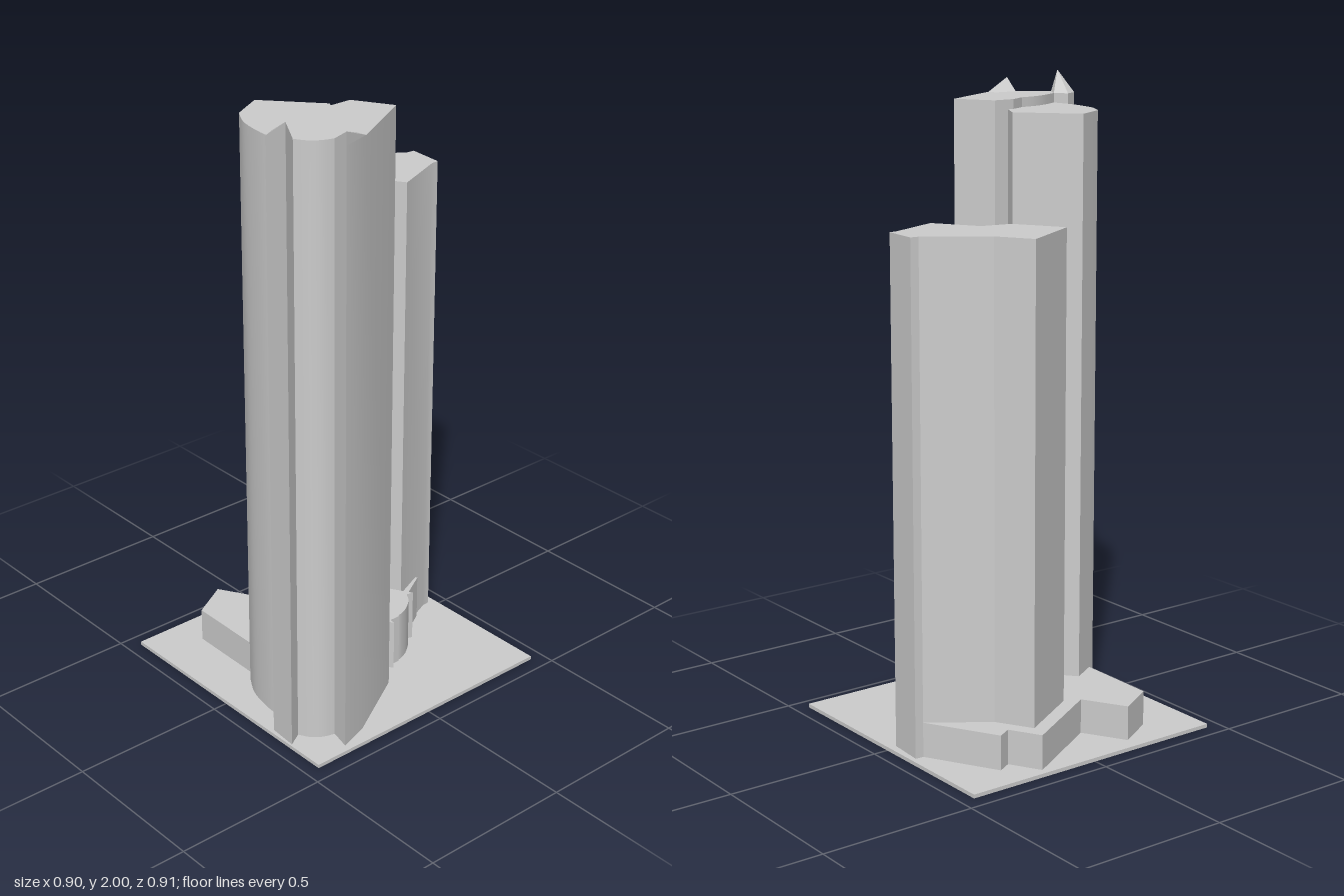
import * as THREE from 'three';
import { toCreasedNormals } from 'three/addons/utils/BufferGeometryUtils.js';

const material = new THREE.MeshStandardMaterial({ color: 0xcccccc });
const PLATE = 0.012;

// smooth run of [x, z] points
function arc(points, steps = 16) {
  const curve = new THREE.SplineCurve(points.map(p => new THREE.Vector2(...p)));
  return curve.getPoints(steps).map(p => [p.x, p.y]);
}

// vertical prism over an [x, z] footprint
function prism(name, footprint, top, bottom = PLATE) {
  const shape = new THREE.Shape(footprint.map(([x, z]) => new THREE.Vector2(x, -z)));
  const geometry = new THREE.ExtrudeGeometry(shape, { depth: top - bottom, bevelEnabled: false });
  geometry.rotateX(-Math.PI / 2).translate(0, bottom, 0);
  const mesh = new THREE.Mesh(toCreasedNormals(geometry, 0.4), material);
  mesh.name = name;
  return mesh;
}

// slanted crown: every edge of the footprint rises to one apex
function crown(name, footprint, base, apex) {
  const ring = footprint.map(([x, z]) => new THREE.Vector2(x, -z));
  if (THREE.ShapeUtils.isClockWise(ring)) ring.reverse();
  const positions = [];
  ring.forEach((a, i) => {
    const b = ring[(i + 1) % ring.length];
    positions.push(a.x, base, -a.y, b.x, base, -b.y, ...apex);
  });
  const geometry = new THREE.BufferGeometry();
  geometry.setAttribute('position', new THREE.Float32BufferAttribute(positions, 3));
  geometry.computeVertexNormals();
  const mesh = new THREE.Mesh(geometry, material);
  mesh.name = name;
  return mesh;
}

export function createModel() {
  const group = new THREE.Group();
  group.name = 'towerComplex';

  // ground plate
  const plate = new THREE.Mesh(new THREE.BoxGeometry(0.9, PLATE, 0.907), material);
  plate.position.y = PLATE / 2;
  plate.name = 'groundPlate';
  group.add(plate);

  // rear tower
  group.add(prism('rearTower', [
    [-0.13, -0.437], [-0.012, -0.428], [-0.01, -0.403], [0.065, -0.23], [-0.075, -0.147],
    [-0.093, -0.048], [-0.245, 0.04], [-0.368, -0.17], [-0.257, -0.235], [-0.132, -0.41],
  ], 1.595));

  // front tower, two halves sharing a curved seam
  const seam = [...arc([[0.237, 0.37], [0.2, 0.305], [0.181, 0.25], [0.174, 0.195]], 10), [0.142, 0.137]];
  group.add(prism('frontTowerLeftHalf', [
    [0.058, 0.07], [-0.107, 0.212], [-0.06, 0.293],
    ...arc([[-0.045, 0.318], [0.02, 0.355], [0.09, 0.373], [0.16, 0.379], [0.237, 0.37]]),
    ...seam.slice(1), [0.14, 0.115],
  ], 1.905));

  const sideFin = [[0.36, 0.235], [0.395, 0.23], [0.427, 0.328], [0.36, 0.312]];
  group.add(prism('frontTowerRightHalf', [
    ...seam, [0.14, 0.065], [0.26, -0.002], ...sideFin.slice(1, 3),
    ...arc([[0.36, 0.312], [0.349, 0.347], [0.326, 0.378], [0.29, 0.4]], 10),
  ], 1.935));

  // corner fins with pointed crowns
  const frontFin = [[0.197, 0.395], [0.237, 0.37], [0.29, 0.4], [0.317, 0.447], [0.222, 0.44]];
  group.add(prism('frontFin', frontFin, 1.935));
  group.add(crown('frontFinCrown', frontFin, 1.935, [0.317, 2, 0.447]));
  group.add(crown('sideFinCrown', sideFin, 1.935, [0.427, 1.975, 0.328]));

  // low podium on the left
  group.add(prism('lowPodium', [
    [-0.427, -0.185], [-0.33, -0.24], [-0.355, -0.285], [-0.132, -0.41], [-0.1, -0.1],
    [0.023, 0.01], [0.058, 0.07], [0, 0.2], [-0.06, 0.293], [-0.332, 0.29],
    [-0.402, 0.168], [-0.268, 0.09],
  ], 0.122));

  // middle podium joining the towers
  group.add(prism('middlePodium', [
    [-0.16, -0.007], [-0.107, 0.085], [0.023, 0.01], [0.058, 0.07], [0.14, 0.115],
    [0.14, 0.065], [0.23, 0.015], [0.025, -0.341], [0, -0.33], [-0.1, -0.2],
  ], 0.16));

  // bow-fronted entrance hall
  group.add(prism('entranceHall', [
    [0.112, -0.24], [0.106, -0.218], [0.135, -0.2],
    ...arc([[0.14, -0.195], [0.165, -0.163], [0.18, -0.13], [0.183, -0.112]], 8),
    [0.188, -0.11], [0.188, -0.073], [0.208, -0.07], [0.08, 0.005], [0, -0.14],
    [0.023, -0.153], [0.01, -0.18],
  ], 0.182));

  return group;
}
